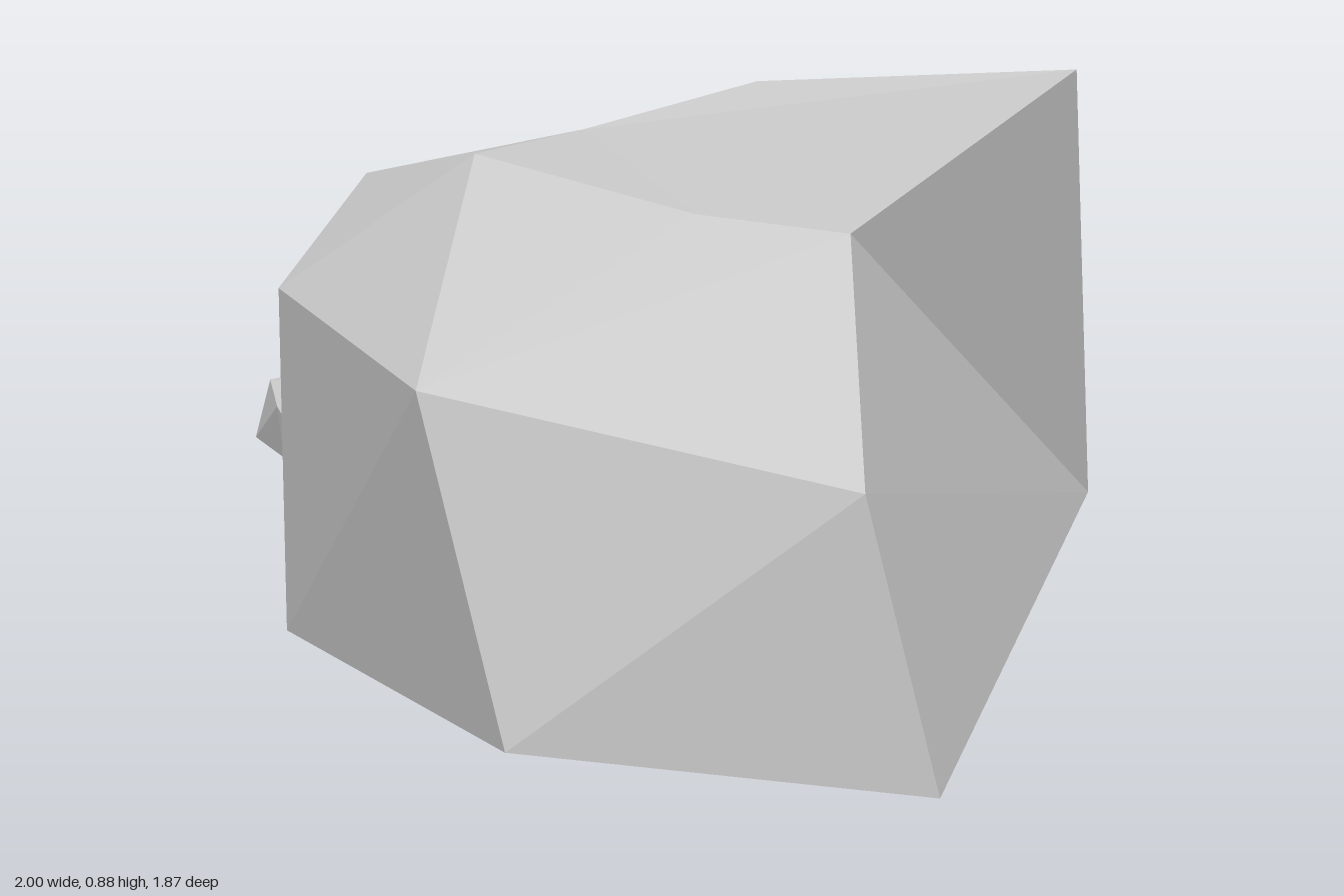
import * as THREE from 'three';
import { ConvexGeometry } from 'three/addons/geometries/ConvexGeometry.js';

const material = new THREE.MeshStandardMaterial({ color: 0xcccccc, flatShading: true });

// Skin rings of equal count, ordered clockwise from above. Each letter of a fold
// string picks the diagonal of that quad: 'a' rises to the next corner, 'b' falls to it.
function facetedLoft(name, rings, folds, topHub) {
  const n = rings[0].length;
  const positions = [];
  const tri = (...corners) => {
    if (new Set(corners).size === 3) corners.forEach((c) => positions.push(...c));
  };
  for (let r = 0; r < rings.length - 1; r++) {
    for (let i = 0; i < n; i++) {
      const j = (i + 1) % n;
      const [bi, bj, ti, tj] = [rings[r][i], rings[r][j], rings[r + 1][i], rings[r + 1][j]];
      if (folds[r][i] === 'a') {
        tri(bj, bi, tj);
        tri(bi, ti, tj);
      } else {
        tri(bj, bi, ti);
        tri(bj, ti, tj);
      }
    }
  }
  // Caps: base fans from its first corner, top fans from the hub corner
  const base = rings[0];
  const top = rings[rings.length - 1];
  for (let k = 1; k < n - 1; k++) {
    tri(base[0], base[k], base[k + 1]);
    tri(top[topHub], top[(topHub + k + 1) % n], top[(topHub + k) % n]);
  }
  const geometry = new THREE.BufferGeometry();
  geometry.setAttribute('position', new THREE.Float32BufferAttribute(positions, 3));
  geometry.computeVertexNormals();
  const mesh = new THREE.Mesh(geometry, material);
  mesh.name = name;
  return mesh;
}

// Faceted chip: a plan outline [x, z] as a zigzag belt with slightly narrower top and bottom.
function chip(name, low, high, outline) {
  const n = outline.length;
  const cx = outline.reduce((s, p) => s + p[0], 0) / n;
  const cz = outline.reduce((s, p) => s + p[1], 0) / n;
  const points = [];
  outline.forEach(([x, z], i) => {
    const at = (k, t) => new THREE.Vector3(cx + (x - cx) * k, low + (high - low) * t, cz + (z - cz) * k);
    points.push(at(1, i % 2 ? 0.75 : 0.2));
    points.push(i % 2 ? at(0.85, 0) : at(0.7, 1));
  });
  const mesh = new THREE.Mesh(new ConvexGeometry(points), material);
  mesh.name = name;
  return mesh;
}

export function createModel() {
  const model = new THREE.Group();
  model.name = 'boulder';

  // Main boulder: base rim, shoulder and dished top, from the back corner round by the left.
  // One base corner carries three shoulder corners, and one top corner carries two.
  const heel = [-0.75, 0.05, -0.5];
  const peak = [-0.24, 0.875, -0.14];
  const crest = [-0.06, 0.875, -0.77];
  const base = [
    [-0.17, 0, -0.935], [1, 0.015, 0.5], [0.57, 0.055, 0.93], [-0.07, 0.08, 0.93],
    [-0.8, 0.08, 0.2], [-1, 0.13, -0.12], heel, heel, heel,
  ];
  const shoulder = [
    base[0], [0.92, 0.44, 0.57], [0.35, 0.535, 0.93], [-0.27, 0.59, 0.82],
    [-0.54, 0.24, 0.42], [-0.73, 0.45, 0.08], [-0.73, 0.46, -0.52],
    [-0.57, 0.46, -0.7], [-0.37, 0.43, -0.86],
  ];
  const top = [
    crest, [0.62, 0.74, 0.35], [0.4, 0.755, 0.47], [-0.03, 0.815, 0.59],
    [-0.38, 0.75, 0.59], [-0.3, 0.805, 0.2], peak, peak, crest,
  ];
  model.add(facetedLoft('mainRock', [base, shoulder, top], ['abbabaabb', 'abaabbbaa'], 5));

  // Belt of small chips around the back and right side
  const chips = new THREE.Group();
  chips.name = 'rockChips';
  chips.add(
    chip('backChip', 0.31, 0.55,
      [[-0.44, -0.9], [-0.35, -0.87], [-0.34, -0.83], [-0.53, -0.62], [-0.58, -0.68], [-0.57, -0.79]]),
    chip('backCornerChip', 0.32, 0.53,
      [[-0.8, -0.64], [-0.78, -0.57], [-0.72, -0.53], [-0.55, -0.6], [-0.54, -0.68], [-0.59, -0.73]]),
    chip('sideBackChip', 0.31, 0.47,
      [[-0.83, -0.48], [-0.7, -0.47], [-0.68, -0.43], [-0.77, -0.17], [-0.9, -0.17], [-0.9, -0.3]]),
    chip('sideMiddleChip', 0.3, 0.46,
      [[-0.92, -0.18], [-0.8, -0.16], [-0.73, -0.08], [-0.79, 0.12], [-0.88, 0.11], [-0.92, 0]]),
    chip('sideFrontChip', 0.29, 0.43,
      [[-0.57, 0.37], [-0.61, 0.46], [-0.54, 0.55], [-0.45, 0.59], [-0.4, 0.55], [-0.48, 0.39]]),
    chip('frontChip', 0.3, 0.42,
      [[-0.44, 0.58], [-0.32, 0.66], [-0.25, 0.8], [-0.29, 0.82], [-0.37, 0.82], [-0.42, 0.7]]),
  );
  model.add(chips);
  return model;
}
